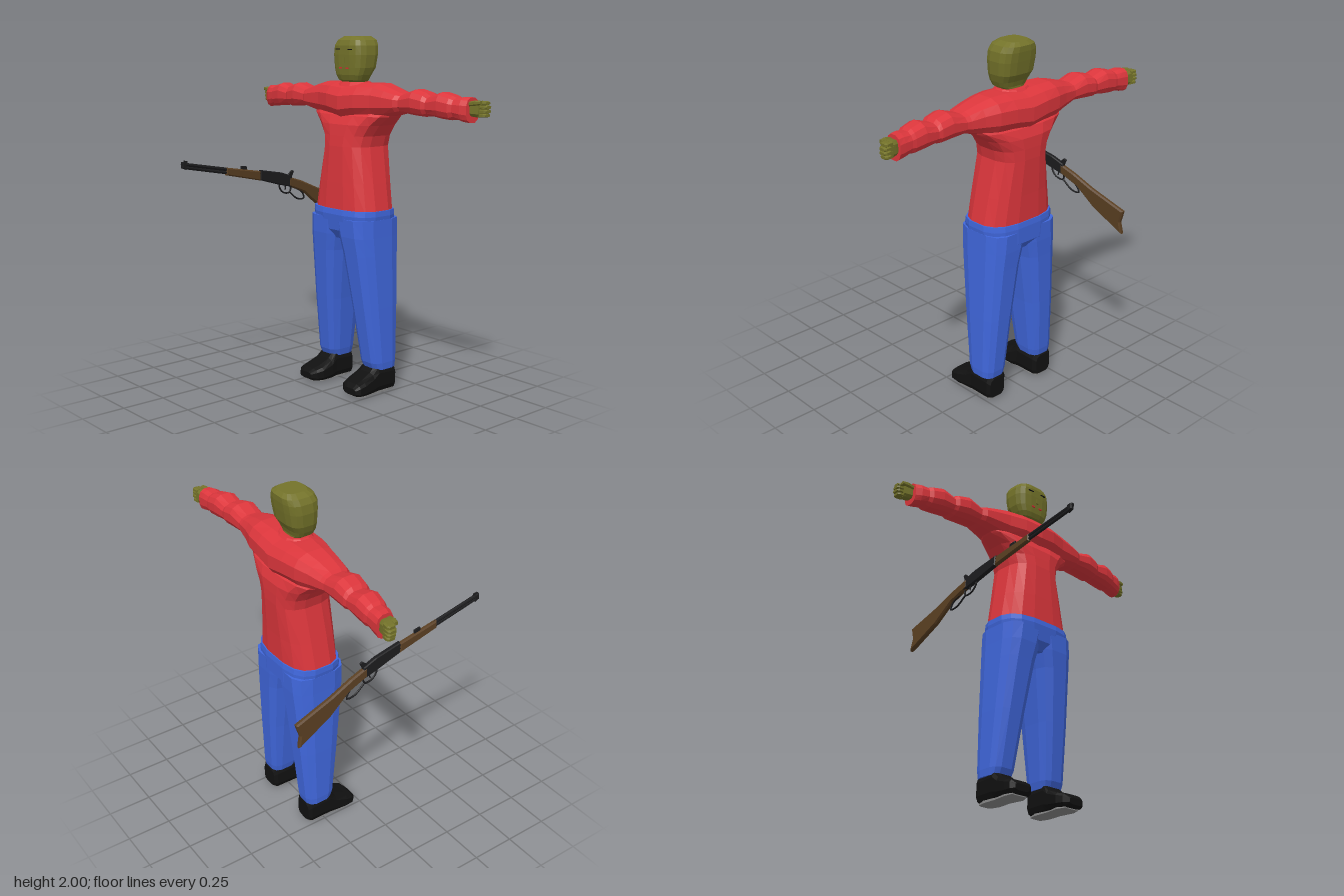
import * as THREE from 'three';

const paint = (color) => new THREE.MeshStandardMaterial({ color, flatShading: true, side: THREE.DoubleSide });
const red = paint(0xdc363c), blue = paint(0x4067dc), olive = paint(0x74732a), black = paint(0x111111),
  grey = paint(0x8a8a8a), steel = paint(0x1c1c1e), wood = paint(0x5a3f22), lip = paint(0xd03030);

// Squarish oval cross-section between a0..a1 and b0..b1
function oval(n, [a0, a1, b0, b1], p) {
  const pow = (v) => Math.sign(v) * Math.abs(v) ** p;
  return Array.from({ length: n }, (_, i) => {
    const t = ((i + 0.5) / n) * Math.PI * 2;
    // scale so that the flat sides reach the stated limits
    const k = 1 / pow(Math.cos(Math.PI / n)), c = pow(Math.cos(t)) * k, s = pow(Math.sin(t)) * (n % 4 ? 1 : k);
    return [(a0 + a1) / 2 + ((a1 - a0) / 2) * c, (b0 + b1) / 2 + ((b1 - b0) / 2) * s];
  });
}

const place = {
  x: (t, a, b) => [t, a, b], // a = y, b = z
  y: (t, a, b) => [a, t, b], // a = x, b = z
  z: (t, a, b) => [a, b, t], // a = x, b = y
};

// Closed skin through sections [position, a0, a1, b0, b1]; side -1 mirrors it
function loft(name, material, axis, sections, n = 12, p = 0.7, side = 1) {
  const pos = [], idx = [];
  const put = (t, a, b) => { const v = place[axis](t, a, b); pos.push(v[0] * side, v[1], v[2]); };
  for (const [t, ...box] of sections) oval(n, box, p).forEach(([a, b]) => put(t, a, b));
  for (let r = 0; r < sections.length - 1; r++)
    for (let i = 0; i < n; i++) {
      const a = r * n + i, b = r * n + ((i + 1) % n);
      idx.push(a, b, b + n, a, b + n, a + n);
    }
  [0, sections.length - 1].forEach((r, end) => {
    const [t, a0, a1, b0, b1] = sections[r], c = pos.length / 3;
    put(t, (a0 + a1) / 2, (b0 + b1) / 2);
    for (let i = 0; i < n; i++) {
      const a = r * n + i, b = r * n + ((i + 1) % n);
      end ? idx.push(a, b, c) : idx.push(b, a, c);
    }
  });
  // turn the skin outward if its volume is negative
  const v = (i) => new THREE.Vector3().fromArray(pos, i * 3);
  let volume = 0;
  for (let i = 0; i < idx.length; i += 3) volume += v(idx[i]).dot(v(idx[i + 1]).cross(v(idx[i + 2])));
  if (volume < 0) idx.reverse();
  const g = new THREE.BufferGeometry();
  g.setAttribute('position', new THREE.Float32BufferAttribute(pos, 3));
  g.setIndex(idx);
  g.computeVertexNormals();
  return named(name, g, material);
}

function named(name, geometry, material) {
  const m = new THREE.Mesh(geometry, material);
  m.name = name;
  return m;
}

function box(name, material, size, at) {
  return named(name, new THREE.BoxGeometry(...size).translate(...at), material);
}

// Rifle, drawn in the (z, y) plane and leaned slightly sideways
function makeRifle() {
  const rifle = new THREE.Group();
  rifle.name = 'rifle';
  const slab = (name, material, pts, width, bevel = 0.005) => {
    const shape = new THREE.Shape(pts.map((q) => new THREE.Vector2(...q)));
    const g = new THREE.ExtrudeGeometry(shape, {
      depth: width - 2 * bevel, bevelEnabled: true, bevelSize: bevel, bevelThickness: bevel, bevelOffset: -bevel, bevelSegments: 1,
    }).translate(0, 0, bevel - width / 2).rotateY(-Math.PI / 2);
    rifle.add(named(name, g, material));
  };
  const tube = (name, material, pts, r, closed = false) => {
    const curve = new THREE.CatmullRomCurve3(pts.map(([z, y]) => new THREE.Vector3(0, y, z)), closed);
    rifle.add(named(name, new THREE.TubeGeometry(curve, pts.length * 4, r, 8, closed), material));
  };
  slab('stock', wood, [[-0.16, 1.172], [-0.26, 1.14], [-0.39, 1.085], [-0.612, 1.012], [-0.59, 0.94], [-0.602, 0.872],
    [-0.4, 0.975], [-0.28, 1.07], [-0.16, 1.115]], 0.03, 0.008);
  slab('receiver', steel, [[0.06, 1.232], [-0.1, 1.203], [-0.18, 1.175], [-0.2, 1.105], [-0.09, 1.13], [0.06, 1.172]], 0.026);
  slab('foreEnd', wood, [[0.31, 1.268], [0.06, 1.226], [0.06, 1.17], [0.31, 1.224]], 0.026, 0.007);
  tube('barrel', steel, [[0.05, 1.212], [0.33, 1.262], [0.612, 1.313]], 0.01);
  tube('magazineTube', steel, [[0.05, 1.193], [0.33, 1.243], [0.59, 1.292]], 0.009);
  slab('muzzleCap', steel, [[0.612, 1.325], [0.585, 1.32], [0.585, 1.28], [0.612, 1.29]], 0.022, 0.003);
  slab('frontSight', steel, [[0.6, 1.332], [0.575, 1.328], [0.575, 1.312], [0.6, 1.318]], 0.005, 0.001);
  slab('rearSight', steel, [[0.2, 1.268], [0.16, 1.262], [0.16, 1.235], [0.2, 1.24]], 0.01, 0.001);
  slab('hammer', steel, [[-0.15, 1.18], [-0.185, 1.21], [-0.2, 1.203], [-0.18, 1.16]], 0.01, 0.001);
  tube('leverLoop', steel, [[-0.09, 1.13], [-0.115, 1.085], [-0.17, 1.075], [-0.18, 1.11]], 0.005, true);
  tube('leverGrip', steel, [[-0.17, 1.08], [-0.24, 1.03], [-0.29, 1.03], [-0.27, 1.07], [-0.19, 1.11]], 0.005);
  tube('trigger', steel, [[-0.13, 1.13], [-0.14, 1.11], [-0.135, 1.095]], 0.004);
  rifle.traverse((o) => {
    if (!o.isMesh) return;
    const a = o.geometry.attributes.position;
    for (let i = 0; i < a.count; i++) a.setX(i, a.getX(i) - 0.495 + 0.03 * a.getZ(i) + 0.06 * (a.getY(i) - 1.1));
    o.geometry.computeVertexNormals();
  });
  return rifle;
}

export function createModel() {
  const model = new THREE.Group();

  // Head and neck
  const head = new THREE.Group();
  head.name = 'head';
  head.add(loft('skull', olive, 'y', [
    [1.69, -0.065, 0.065, -0.295, -0.19], [1.752, -0.07, 0.07, -0.292, -0.185], [1.762, -0.085, 0.085, -0.292, -0.172],
    [1.79, -0.1, 0.1, -0.302, -0.162], [1.83, -0.115, 0.115, -0.325, -0.159], [1.9, -0.122, 0.122, -0.337, -0.156],
    [1.95, -0.117, 0.117, -0.344, -0.157], [1.98, -0.1, 0.1, -0.345, -0.168], [2.0, -0.068, 0.068, -0.325, -0.195],
  ], 16, 0.62));
  for (const s of [-1, 1]) {
    head.add(box('eye', black, [0.034, 0.005, 0.008], [0.047 * s, 1.93, -0.156]));
    head.add(box('mouth', lip, [0.02, 0.008, 0.008], [0.026 * s, 1.828, -0.158]));
  }
  head.add(box('nose', olive, [0.016, 0.03, 0.012], [0, 1.87, -0.156]));
  model.add(head);

  // Shirt: trunk, then one skin running cuff to cuff across the chest
  const shirt = new THREE.Group();
  shirt.name = 'shirt';
  shirt.add(loft('trunk', red, 'y', [
    [1.03, -0.232, 0.232, -0.39, -0.088], [1.2, -0.202, 0.202, -0.397, -0.093], [1.4, -0.165, 0.165, -0.41, -0.1],
    [1.46, -0.18, 0.18, -0.411, -0.107], [1.52, -0.225, 0.225, -0.41, -0.115], [1.57, -0.29, 0.29, -0.39, -0.14],
    [1.61, -0.33, 0.33, -0.34, -0.19],
  ], 16, 0.7));
  const half = [
    [0.815, 1.57, 1.698, -0.35, -0.25], [0.78, 1.575, 1.7, -0.348, -0.235], [0.735, 1.588, 1.695, -0.345, -0.228],
    [0.715, 1.58, 1.705, -0.348, -0.215], [0.65, 1.585, 1.72, -0.348, -0.203], [0.57, 1.597, 1.695, -0.342, -0.205],
    [0.55, 1.588, 1.712, -0.347, -0.192], [0.48, 1.592, 1.728, -0.348, -0.182], [0.39, 1.6, 1.7, -0.345, -0.188],
    [0.365, 1.592, 1.706, -0.35, -0.172], [0.29, 1.575, 1.728, -0.368, -0.16], [0.21, 1.56, 1.748, -0.395, -0.15],
    [0.11, 1.555, 1.748, -0.408, -0.122],
  ];
  const centre = [0, 1.535, 1.742, -0.415, -0.106];
  const other = half.map(([x, ...r]) => [-x, ...r]).reverse();
  shirt.add(loft('sleevesAndChest', red, 'x', [...half, centre, ...other], 12, 0.78));
  shirt.add(loft('collar', red, 'y', [[1.71, -0.13, 0.13, -0.35, -0.15], [1.752, -0.085, 0.085, -0.315, -0.18]], 12, 0.8));
  model.add(shirt);

  // Trousers: seat
  model.add(loft('trouserSeat', blue, 'y', [
    [0.88, -0.13, 0.13, -0.36, -0.12], [0.93, -0.225, 0.225, -0.398, -0.088],
    [1.02, -0.237, 0.237, -0.4, -0.076], [1.05, -0.235, 0.235, -0.396, -0.08],
  ], 16, 0.65));

  for (const s of [-1, 1]) {
    // Trouser leg
    model.add(loft('trouserLeg', blue, 'y', [
      [0.14, 0.112, 0.253, -0.35, -0.195], [0.18, 0.103, 0.256, -0.357, -0.178], [0.5, 0.066, 0.249, -0.375, -0.135],
      [0.8, 0.022, 0.24, -0.39, -0.098], [0.9, -0.004, 0.237, -0.396, -0.085], [1.0, -0.03, 0.235, -0.398, -0.08],
    ], 12, 0.6, s));

    // Shoe and sole
    const shoe = new THREE.Group();
    shoe.name = 'shoe';
    shoe.add(loft('shoeUpper', black, 'z', [
      [-0.352, 0.13, 0.235, 0.015, 0.13], [-0.335, 0.112, 0.25, 0.006, 0.155], [-0.21, 0.108, 0.252, 0.006, 0.165],
      [-0.17, 0.1, 0.255, 0.006, 0.128], [-0.1, 0.1, 0.262, 0.008, 0.098], [-0.06, 0.112, 0.26, 0.012, 0.085],
      [-0.038, 0.145, 0.24, 0.025, 0.062],
    ], 12, 0.55, s));
    shoe.add(loft('sole', grey, 'z', [
      [-0.34, 0.14, 0.225, 0, 0.02], [-0.29, 0.127, 0.238, 0, 0.02], [-0.2, 0.13, 0.235, 0.002, 0.02],
      [-0.11, 0.117, 0.247, 0.002, 0.02], [-0.065, 0.14, 0.235, 0.006, 0.024],
    ], 8, 0.4, s));
    model.add(shoe);

    // Hand with four fingers and a thumb
    const hand = new THREE.Group();
    hand.name = 'hand';
    hand.add(loft('palm', olive, 'x', [
      [0.78, 1.61, 1.67, -0.325, -0.27], [0.83, 1.602, 1.68, -0.338, -0.278], [0.865, 1.6, 1.683, -0.343, -0.285],
    ], 8, 0.6, s));
    for (let i = 0; i < 4; i++) {
      const y = 1.611 + i * 0.0205, tip = 0.892 + (i === 1 || i === 2 ? 0.01 : 0.004);
      hand.add(loft('finger', olive, 'x', [
        [0.85, y - 0.0105, y + 0.0105, -0.342, -0.29], [tip - 0.012, y - 0.01, y + 0.01, -0.347, -0.295],
        [tip, y - 0.007, y + 0.007, -0.34, -0.305],
      ], 8, 0.6, s));
    }
    hand.add(loft('thumb', olive, 'x', [
      [0.81, 1.655, 1.678, -0.29, -0.268], [0.85, 1.66, 1.687, -0.296, -0.27], [0.88, 1.666, 1.685, -0.298, -0.278],
    ], 8, 0.7, s));
    model.add(hand);
  }

  model.add(makeRifle());
  return model;
}
